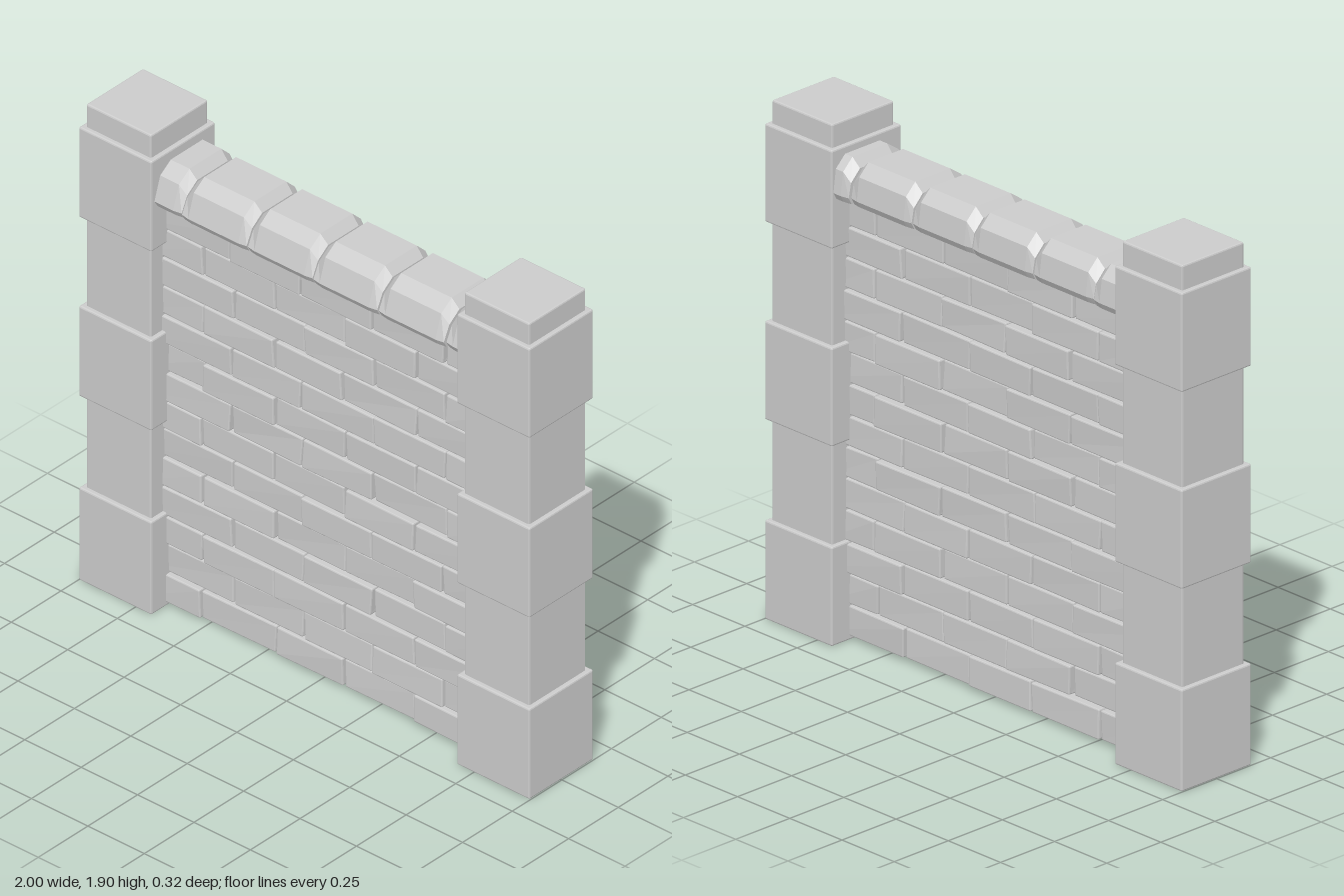
import * as THREE from 'three';
import { RoundedBoxGeometry } from 'three/addons/geometries/RoundedBoxGeometry.js';

const stone = new THREE.MeshStandardMaterial({ color: 0xcccccc, flatShading: true });

// Small seeded generator, returns -1..1
let seed = 7;
function jitter(amount) {
  seed = (seed * 16807) % 2147483647;
  return (seed / 2147483647 * 2 - 1) * amount;
}

function addMesh(parent, geometry, name) {
  const mesh = new THREE.Mesh(geometry, stone);
  mesh.name = name;
  parent.add(mesh);
  return mesh;
}

// Chamfered block between two corners
function block(x0, x1, y0, y1, z0, z1, bevel) {
  const g = new RoundedBoxGeometry(x1 - x0, y1 - y0, z1 - z0, 1, bevel);
  g.translate((x0 + x1) / 2, (y0 + y1) / 2, (z0 + z1) / 2);
  return g;
}

// Pillar of alternating wide and narrow blocks with a low cap
function pillar(name, x, levels) {
  const group = new THREE.Group();
  group.name = name;
  for (let i = 0; i < levels.length - 1; i++) {
    const wide = i % 2 === 0;
    const hx = wide ? 0.161 : 0.144, hz = wide ? 0.161 : 0.143;
    const isCap = i === levels.length - 2;
    const y0 = levels[i] - (wide ? 0 : 0.02);
    const y1 = levels[i + 1] + (wide || isCap ? 0 : 0.02);
    addMesh(group, block(x - hx, x + hx, y0, y1, -hz, hz, 0.006),
      isCap ? 'pillarCap' : wide ? 'pillarWideBlock' : 'pillarNarrowBlock');
  }
  return group;
}

// Brick with slightly irregular corners and its own depth
function brick(x0, x1, y0, y1) {
  const gap = 0.003;
  const front = 0.081 + jitter(0.009), back = -0.081 + jitter(0.009);
  const g = block(x0 + gap, x1 - gap, y0 + gap, y1 - gap, back, front, 0.005);
  const cx = (x0 + x1) / 2, cy = (y0 + y1) / 2;
  const shifts = Array.from({ length: 8 }, () => [jitter(0.004), jitter(0.002), jitter(0.003)]);
  const p = g.attributes.position;
  for (let i = 0; i < p.count; i++) {
    const corner = (p.getX(i) > cx ? 1 : 0) + (p.getY(i) > cy ? 2 : 0) + (p.getZ(i) > 0 ? 4 : 0);
    const s = shifts[corner];
    p.setXYZ(i, p.getX(i) + s[0], p.getY(i) + s[1], p.getZ(i) + s[2]);
  }
  g.computeVertexNormals();
  return g;
}

// Coping stone lofted along x, its top bevelled on all four sides
const copingProfile = [
  [0.132, 1.62], [0.147, 1.645], [0.118, 1.735], [0.065, 1.772],
  [-0.095, 1.772], [-0.138, 1.73], [-0.149, 1.645], [-0.135, 1.62],
];
function copingStone(x0, x1) {
  const dz = jitter(0.005), n = copingProfile.length, pos = [], index = [];
  const bevel = 0.035;
  const sections = [
    [x0 + 0.003, true], [x0 + bevel, false], [x1 - bevel, false], [x1 - 0.003, true],
  ];
  for (const [x, end] of sections) {
    for (const [z, y] of copingProfile) {
      const yy = end && y > 1.7 ? y - 0.033 : y;
      pos.push(x, yy, z * (end ? 0.96 : 1) + dz);
    }
  }
  for (let s = 0; s < sections.length - 1; s++) {
    for (let i = 0; i < n; i++) {
      const a = s * n + i, b = s * n + (i + 1) % n;
      index.push(a, a + n, b, b, a + n, b + n);
    }
  }
  const last = (sections.length - 1) * n;
  for (let i = 1; i < n - 1; i++) {
    index.push(0, i, i + 1);
    index.push(last, last + i + 1, last + i);
  }
  const g = new THREE.BufferGeometry();
  g.setAttribute('position', new THREE.Float32BufferAttribute(pos, 3));
  g.setIndex(index);
  const flat = g.toNonIndexed();
  flat.computeVertexNormals();
  return flat;
}

export function createModel() {
  seed = 7;
  const model = new THREE.Group();
  model.name = 'stoneWall';

  model.add(pillar('rightPillar', -0.839, [0, 0.37, 0.735, 1.095, 1.45, 1.81, 1.9]));
  model.add(pillar('leftPillar', 0.837, [0, 0.36, 0.725, 1.083, 1.443, 1.8, 1.885]));

  // Running-bond brick courses, joints shifted by half a brick on every other row
  const bricks = new THREE.Group();
  bricks.name = 'brickCourses';
  const rows = 14, bottom = 0.013, rowHeight = 0.1144;
  const joints = [[-0.52, -0.205, 0.105, 0.42], [-0.39, -0.08, 0.23, 0.55]];
  for (let r = 0; r < rows; r++) {
    const y0 = bottom + r * rowHeight;
    const xs = [-0.75, ...joints[r % 2].map((x) => x + jitter(0.008)), 0.75];
    for (let i = 0; i < xs.length - 1; i++) {
      addMesh(bricks, brick(xs[i], xs[i + 1], y0, y0 + rowHeight), 'brick');
    }
  }
  model.add(bricks);

  // Coping along the top, running into both pillars
  const coping = new THREE.Group();
  coping.name = 'coping';
  const ends = [-0.8, -0.56, -0.268, 0.024, 0.312, 0.606, 0.8];
  for (let i = 0; i < ends.length - 1; i++) {
    addMesh(coping, copingStone(ends[i], ends[i + 1]), 'copingStone');
  }
  model.add(coping);
  return model;
}
